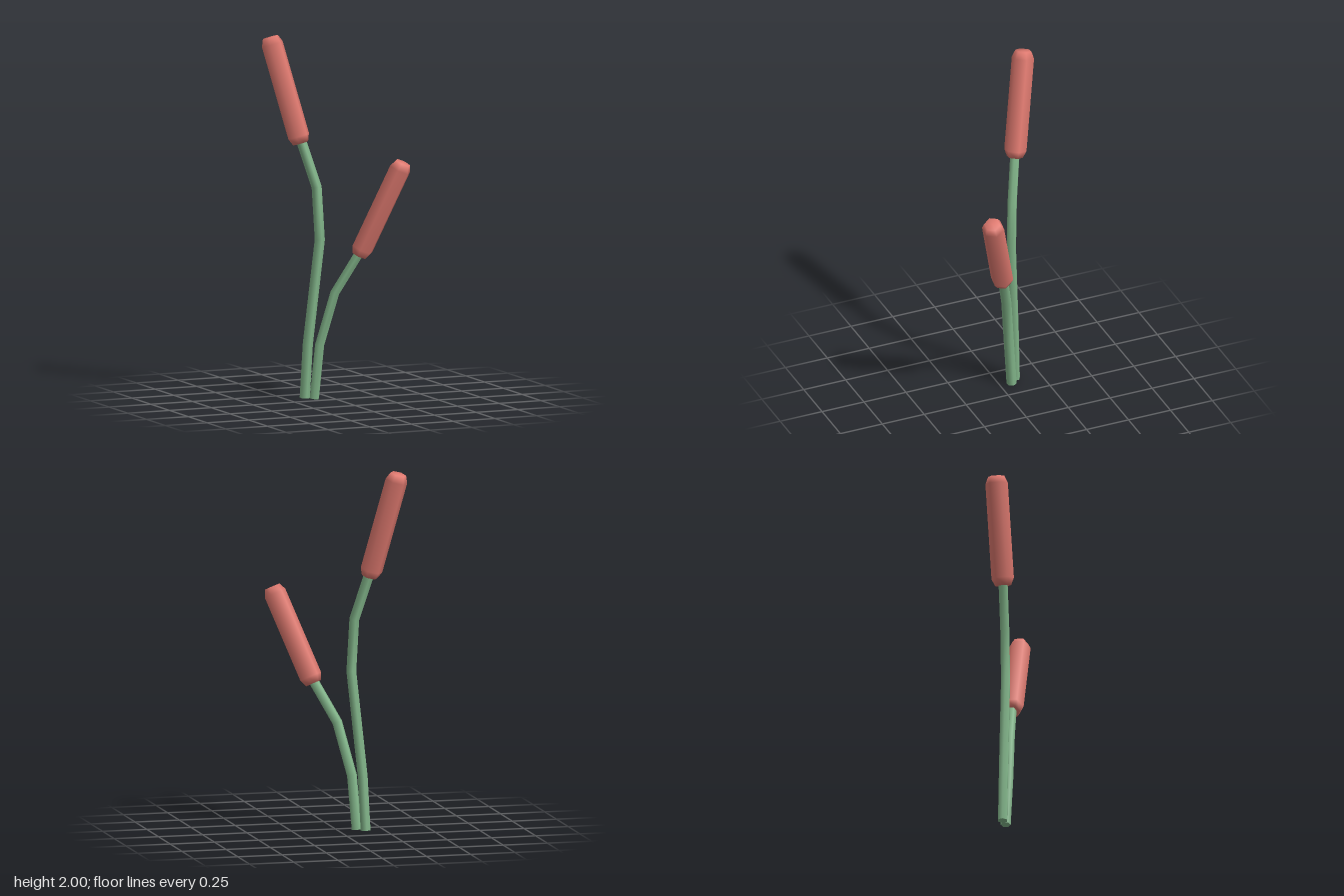
import * as THREE from 'three';

const green = new THREE.MeshStandardMaterial({ color: 0x84b88c, side: THREE.DoubleSide });
green.name = 'stem green';
const red = new THREE.MeshStandardMaterial({ color: 0xe07a70 });
red.name = 'seed head red';

const SIDES = 6;
const vec = (p) => new THREE.Vector3(...p);

// Straight-segment path sampled exactly at its corner points
class BentPath extends THREE.Curve {
  constructor(points) {
    super();
    this.points = points;
  }
  getPoint(t, target = new THREE.Vector3()) {
    const n = this.points.length - 1;
    const i = Math.min(Math.floor(t * n + 1e-9), n - 1);
    return target.lerpVectors(this.points[i], this.points[i + 1], t * n - i);
  }
  getPointAt(t, target) { return this.getPoint(t, target); }
  getTangentAt(t, target) { return this.getTangent(t, target); }
}

// Bent hexagonal stem with a flat cut at the base
function makeStem(points, radius) {
  const group = new THREE.Group();
  const tube = new THREE.TubeGeometry(new BentPath(points.map(vec)), points.length - 1, radius, SIDES);
  const stalk = new THREE.Mesh(tube, green);
  stalk.name = 'stalk';

  const cut = new THREE.BufferGeometry();
  cut.setAttribute('position', new THREE.BufferAttribute(tube.attributes.position.array.slice(0, SIDES * 3), 3));
  const index = [];
  for (let j = 1; j < SIDES - 1; j++) index.push(0, j, j + 1);
  cut.setIndex(index);
  cut.computeVertexNormals();
  const base = new THREE.Mesh(cut, green);
  base.name = 'stemBase';

  group.add(stalk, base);
  return group;
}

// Hexagonal seed head with bevelled ends, running from one point to another
function makeHead(from, to, radius) {
  const a = vec(from);
  const axis = vec(to).sub(a);
  const length = axis.length();
  const bevel = 0.04;
  const profile = [
    [0, 0], [radius * 0.72, 0], [radius, bevel],
    [radius, length - bevel], [radius * 0.72, length], [0, length],
  ].map(([r, y]) => new THREE.Vector2(r, y));
  const geometry = new THREE.LatheGeometry(profile, SIDES);
  geometry.rotateY(Math.PI / 2 - 0.08);
  const head = new THREE.Mesh(geometry, red);
  head.position.copy(a);
  head.quaternion.setFromUnitVectors(new THREE.Vector3(0, 1, 0), axis.normalize());
  return head;
}

const reeds = [
  {
    name: 'tallReed',
    stem: [[-0.143, 0.003, -0.105], [-0.13, 0.3, -0.093], [-0.076, 0.88, -0.053], [-0.09, 1.17, -0.064], [-0.172, 1.46, -0.118]],
    head: [[-0.164, 1.41, -0.112], [-0.297, 1.99, -0.222]],
  },
  {
    name: 'shortReed',
    stem: [[-0.103, 0.003, -0.066], [-0.083, 0.3, -0.04], [-0.012, 0.59, 0.005], [0.118, 0.84, 0.083]],
    head: [[0.103, 0.8, 0.076], [0.298, 1.32, 0.224]],
  },
];

export function createModel() {
  const model = new THREE.Group();
  model.name = 'reeds';
  for (const { name, stem, head } of reeds) {
    const reed = new THREE.Group();
    reed.name = name;
    const stemGroup = makeStem(stem, 0.028);
    stemGroup.name = 'stem';
    const seedHead = makeHead(head[0], head[1], 0.062);
    seedHead.name = 'seedHead';
    reed.add(stemGroup, seedHead);
    model.add(reed);
  }
  return model;
}
